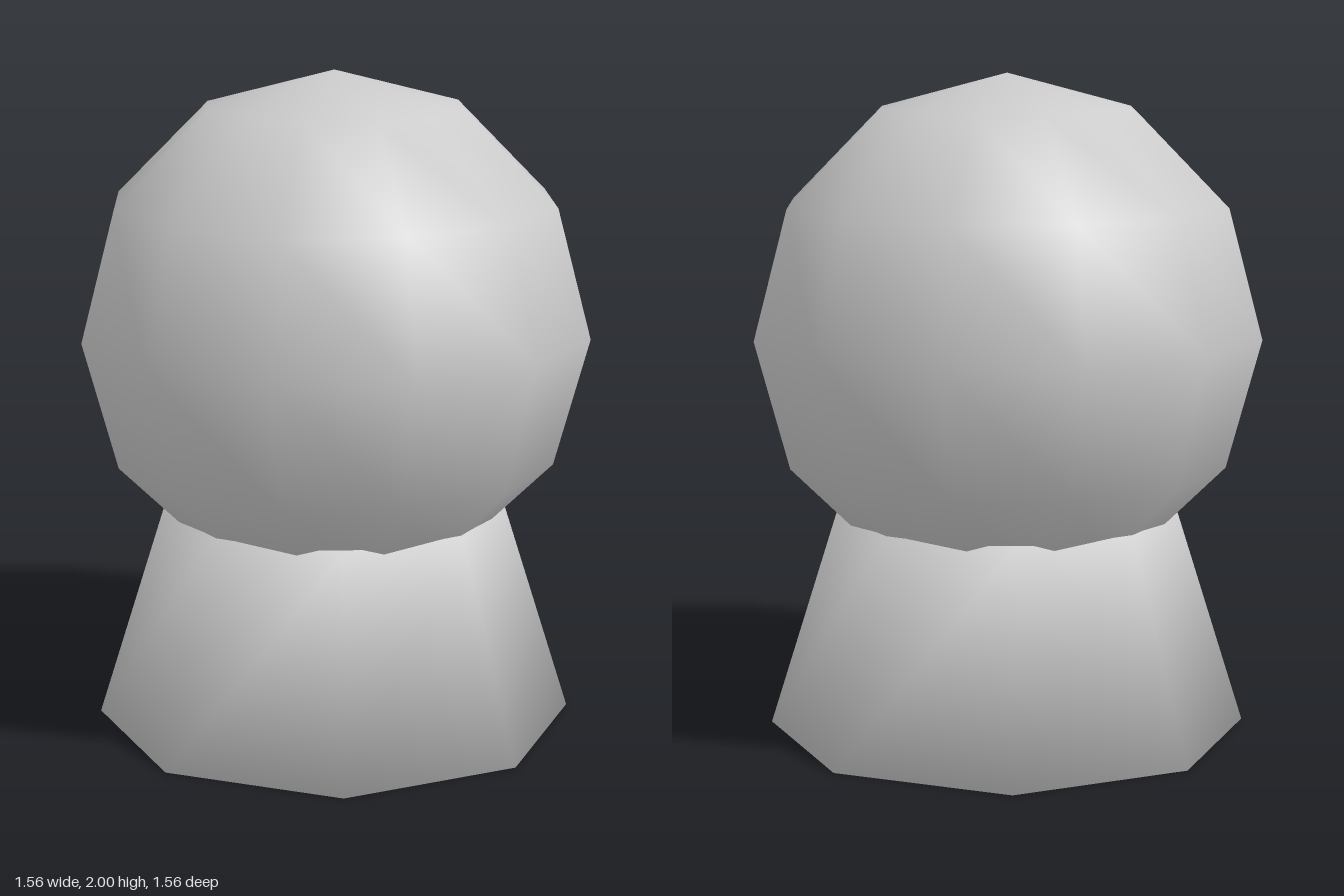
import * as THREE from 'three';

const SIDES = 8;

// Tapered prism whose side and cap share soft vertex normals.
// Each ring: radius, height, and vertical share of its normal.
function softFrustum(rings) {
  const pos = [], nor = [], idx = [];
  for (const { r, y, ny } of rings) {
    for (let i = 0; i < SIDES; i++) {
      const a = (i / SIDES) * Math.PI * 2;
      const n = new THREE.Vector3(Math.sin(a), ny, Math.cos(a)).normalize();
      pos.push(r * Math.sin(a), y, r * Math.cos(a));
      nor.push(n.x, n.y, n.z);
    }
  }
  // sides
  for (let i = 0; i < SIDES; i++) {
    const j = (i + 1) % SIDES;
    idx.push(i, j, j + SIDES, i, j + SIDES, i + SIDES);
  }
  // bottom and top caps
  for (let i = 1; i < SIDES - 1; i++) {
    idx.push(0, i + 1, i);
    idx.push(SIDES, SIDES + i, SIDES + i + 1);
  }
  const g = new THREE.BufferGeometry();
  g.setAttribute('position', new THREE.Float32BufferAttribute(pos, 3));
  g.setAttribute('normal', new THREE.Float32BufferAttribute(nor, 3));
  g.setIndex(idx);
  return g;
}

export function createModel() {
  const group = new THREE.Group();
  const material = new THREE.MeshStandardMaterial({ color: 0xcccccc });

  // Eight-sided tapered foot
  const base = new THREE.Mesh(
    softFrustum([
      { r: 0.73, y: 0, ny: -0.6 },
      { r: 0.52, y: 0.67, ny: 1.11 },
    ]),
    material
  );
  base.name = 'base';

  // Ball sunk into the foot
  const ball = new THREE.Mesh(new THREE.SphereGeometry(0.778, 12, 6), material);
  ball.position.y = 1.222;
  ball.name = 'ball';

  group.add(base, ball);
  return group;
}
